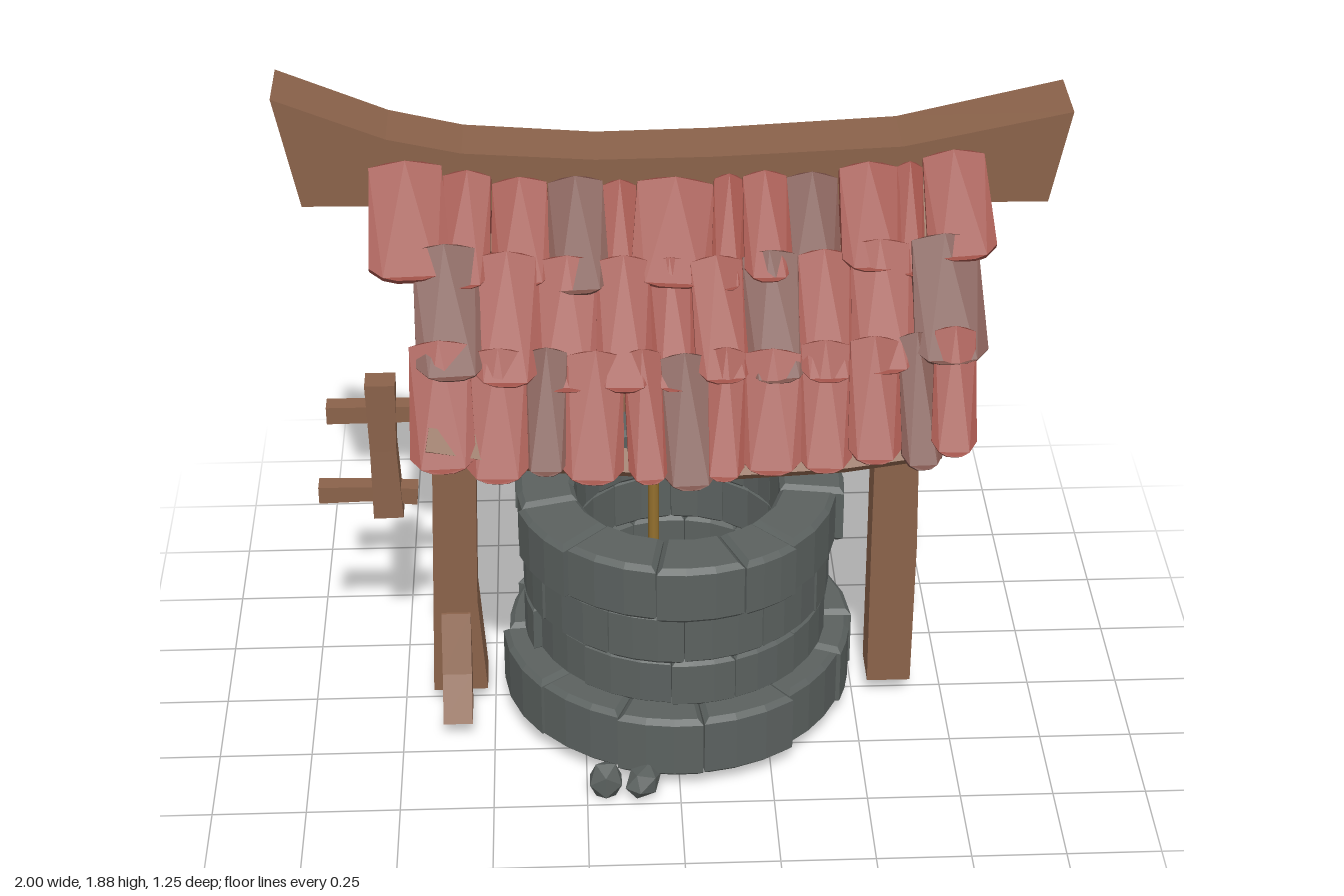
import * as THREE from 'three';

const mat = (name, color) => Object.assign(new THREE.MeshStandardMaterial({ color }), { name });
const V = (x, y, z) => new THREE.Vector3(x, y, z);

export function createModel() {
  const wood = mat('wood', 0x8a624a);
  const stone = mat('stone', 0x5b615f);
  const redTile = mat('red tile', 0x9e5047);
  const brownTile = mat('brown tile', 0x7a5048);
  const rope = mat('rope', 0x94702e);

  const root = new THREE.Group();
  root.name = 'well';
  let seed = 7;
  const rnd = (a) => { // seeded, -a..a
    seed = (seed * 16807) % 2147483647;
    return (seed / 2147483647 * 2 - 1) * a;
  };
  const add = (name, geo, material, parent = root) => {
    const m = new THREE.Mesh(geo, material);
    m.name = name;
    parent.add(m);
    return m;
  };
  const group = (name) => {
    const g = new THREE.Group();
    g.name = name;
    root.add(g);
    return g;
  };

  // Timber with a rectangular section; each point is [x, y, z, width along side, depth, section normal (optional)].
  const timber = (name, pts, side, parent = root) => {
    const P = pts.map((p) => V(p[0], p[1], p[2]));
    const rings = P.map((p, i) => {
      const t = pts[i][5] ? pts[i][5].clone() : P[Math.min(i + 1, P.length - 1)].clone().sub(P[Math.max(i - 1, 0)]);
      t.normalize();
      const s = side.clone().addScaledVector(t, -side.dot(t)).normalize();
      const u = t.clone().cross(s);
      return [[1, 1], [-1, 1], [-1, -1], [1, -1]].map(([a, b]) =>
        p.clone().addScaledVector(s, a * pts[i][3] / 2).addScaledVector(u, b * pts[i][4] / 2));
    });
    const out = [];
    const quad = (a, b, c, d) => out.push(a, b, c, a, c, d);
    for (let k = 0; k < rings.length - 1; k++) {
      for (let i = 0; i < 4; i++) {
        const j = (i + 1) % 4;
        quad(rings[k][i], rings[k][j], rings[k + 1][j], rings[k + 1][i]);
      }
    }
    const e = rings[rings.length - 1], f = rings[0];
    quad(e[0], e[1], e[2], e[3]);
    quad(f[3], f[2], f[1], f[0]);
    const geo = new THREE.BufferGeometry().setFromPoints(out);
    geo.computeVertexNormals();
    return add(name, geo, wood, parent);
  };
  const X = V(1, 0, 0), Y = V(0, 1, 0), Z = V(0, 0, 1);

  // Stone courses: [bottom, top, inner radius, outer radius, stones, turn]
  const wall = group('stoneWall');
  wall.position.set(0.01, 0, -0.03);
  [[0.06, 0.245, 0.31, 0.478, 12, 0.1], [0.235, 0.385, 0.29, 0.412, 12, 0.38],
    [0.375, 0.535, 0.29, 0.412, 12, 0.05], [0.525, 0.695, 0.28, 0.442, 12, 0.3]].forEach(([y0, y1, r0, r1, n, turn]) => {
    const step = Math.PI * 2 / n;
    const cuts = Array.from({ length: n }, (_, i) => turn + i * step + rnd(0.1));
    cuts.push(cuts[0] + Math.PI * 2);
    for (let i = 0; i < n; i++) {
      const a = cuts[i] + 0.004, b = cuts[i + 1] - 0.004, R = r1 + rnd(0.014);
      const pts = [];
      for (let k = 0; k <= 3; k++) {
        const t = a + (b - a) * k / 3;
        pts.push(new THREE.Vector2(Math.cos(t) * R, Math.sin(t) * R));
      }
      for (let k = 2; k >= 0; k--) {
        const t = a + (b - a) * k / 2;
        pts.push(new THREE.Vector2(Math.cos(t) * r0, Math.sin(t) * r0));
      }
      const bevel = 0.014;
      const geo = new THREE.ExtrudeGeometry(new THREE.Shape(pts), {
        depth: y1 - y0 - 2 * bevel, bevelThickness: bevel, bevelSize: bevel,
        bevelOffset: -bevel, bevelSegments: 1,
      });
      geo.rotateX(-Math.PI / 2).translate(0, y0 + bevel, 0);
      add('wallStone', geo, stone, wall);
    }
  });

  // Loose pebbles
  [[-0.2, 0.06, 0.46, 0.05, 0.062], [-0.1, 0.062, 0.47, 0.062, 0.045], [-0.08, 0.06, -0.54, 0.045, 0.035]]
    .forEach(([x, y, z, r, h], i) => {
      const m = add('pebble', new THREE.IcosahedronGeometry(1, 0), stone);
      m.position.set(x, y, z);
      m.scale.set(r, h, 0.045);
      m.rotation.y = i;
    });

  // Posts and their feet
  timber('rightPost', [[-0.595, 0.06, -0.02, 0.15, 0.12], [-0.6, 0.36, -0.02, 0.12, 0.115],
    [-0.585, 0.9, -0.02, 0.115, 0.105], [-0.58, 1.2, -0.02, 0.12, 0.11], [-0.585, 1.66, -0.02, 0.11, 0.1]], X);
  timber('leftPost', [[0.6, 0.06, -0.02, 0.12, 0.125], [0.6, 0.5, -0.015, 0.125, 0.105],
    [0.595, 0.95, -0.025, 0.115, 0.12], [0.595, 1.7, -0.02, 0.11, 0.1]], X);
  [[-0.6, 1, 0.08], [0.61, -1, 0.06]].forEach(([x, s, w]) =>
    timber('postFoot', [[x, 0.06, -0.02 + s * 0.17, w, 0.1, Y], [x, 0.17, -0.02 + s * 0.1, w, 0.08, Y],
      [x, 0.32, -0.02 + s * 0.035, w, 0.06, Y]], X));

  // Sagging ridge beam, its ends leaning outwards
  timber('ridgeBeam', [[-0.97, 1.74, -0.033, 0.175, 0.305, V(1, 0.2, 0)], [-0.74, 1.68, -0.033, 0.17, 0.19],
    [-0.54, 1.65, -0.032, 0.165, 0.16], [-0.2, 1.633, -0.03, 0.16, 0.145], [0.1, 1.637, -0.03, 0.165, 0.145],
    [0.58, 1.65, -0.032, 0.175, 0.16], [0.975, 1.695, -0.035, 0.19, 0.255, V(1, -0.2, 0)]], Z);

  // Roof frame: rafters, braces and sagging eave purlins laid along the slope
  const frame = group('roofFrame');
  for (const s of [1, -1]) {
    for (const x of [-0.585, 0.595]) {
      timber('rafter', [[x, 1.63, s * 0.05, 0.07, 0.055], [x, 1.41, s * 0.29, 0.07, 0.055],
        [x, 1.13, s * 0.54, 0.07, 0.055]], X, frame);
      timber('brace', [[x, 1.31, -0.02 + s * 0.03, 0.05, 0.045], [x, 1.45, s * 0.28, 0.05, 0.04]], X, frame);
    }
    timber('eavePurlin', [-0.63, -0.35, 0.1, 0.4, 0.64].map((x) =>
      [x, 1.095 + 0.17 * (x - 0.1) ** 2, s * 0.535, 0.06, 0.065]), V(0, -0.75, s * 0.65), frame);
  }

  // Roof tiles: edges along x, brown tile indices, and the slope from top to bottom
  const rows = [
    { edges: [-0.77, -0.58, -0.46, -0.32, -0.18, -0.1, 0.1, 0.17, 0.28, 0.41, 0.56, 0.62, 0.78],
      brown: [3, 8], top: [0.07, 1.64], low: [0.278, 1.435] },
    { edges: [-0.66, -0.5, -0.35, -0.2, -0.07, 0.03, 0.16, 0.3, 0.43, 0.58, 0.75],
      brown: [0, 6, 9], top: [0.23, 1.505], low: [0.445, 1.262] },
    { edges: [-0.67, -0.52, -0.38, -0.28, -0.14, -0.05, 0.07, 0.16, 0.3, 0.42, 0.54, 0.63, 0.73],
      brown: [2, 5, 10], top: [0.4, 1.335], low: [0.578, 1.075] },
  ];
  const tileGeometry = (w, len) => {
    const h = w / 2, pts = [];
    for (let k = 0; k <= 4; k++) pts.push(new THREE.Vector2(h * (0.9 - 0.45 * k), 0.012 * Math.sin(k / 4 * Math.PI)));
    for (let k = 0; k <= 6; k++) {
      const t = -1 + k / 3;
      pts.push(new THREE.Vector2(h * t, -len + 0.04 * Math.abs(t) ** 3));
    }
    const geo = new THREE.ExtrudeGeometry(new THREE.Shape(pts), { depth: 0.026, bevelEnabled: false });
    const p = geo.attributes.position;
    // Arch across the width, with a lifted lower lip
    for (let i = 0; i < p.count; i++) {
      const x = p.getX(i) / h;
      p.setZ(i, p.getZ(i) - 0.016 * x * x - 0.012 * p.getY(i) / len);
    }
    geo.computeVertexNormals();
    return geo;
  };
  for (const s of [1, -1]) {
    const slope = group(s > 0 ? 'frontTiles' : 'backTiles');
    for (const { edges, brown, top, low } of rows) {
      const up = V(0, top[1] - low[1], s * (top[0] - low[0]));
      const len = up.length();
      const ax = V(s, 0, 0), ay = up.normalize(), az = ax.clone().cross(ay);
      for (let i = 0; i < edges.length - 1; i++) {
        const x = (edges[i] + edges[i + 1]) / 2, w = edges[i + 1] - edges[i] + 0.012;
        const m = add('roofTile', tileGeometry(w, len + rnd(0.015)), brown.includes(i) ? brownTile : redTile, slope);
        m.quaternion.setFromRotationMatrix(new THREE.Matrix4().makeBasis(ax, ay, az));
        m.position.set(x, top[1] + 0.12 * x * x + rnd(0.008), s * top[0]).addScaledVector(az, (i % 2) * 0.008);
        m.rotateZ(rnd(0.05));
        m.rotateY(rnd(0.06));
      }
    }
  }

  // Winding axle and crank
  timber('axle', [[-0.92, 0.94, -0.02, 0.05, 0.05], [-0.5, 0.94, -0.02, 0.045, 0.045], [-0.12, 0.955, -0.02, 0.04, 0.045],
    [0.1, 0.945, -0.02, 0.045, 0.045], [0.3, 0.93, -0.02, 0.045, 0.045], [0.765, 0.94, -0.02, 0.05, 0.055]], Z);
  timber('crankArm', [[-0.77, 0.62, -0.02, 0.08, 0.07], [-0.775, 0.83, -0.02, 0.07, 0.065],
    [-0.775, 1.035, -0.02, 0.08, 0.07]], X);
  timber('crankHandle', [[-0.955, 0.69, -0.02, 0.05, 0.05], [-0.82, 0.69, -0.02, 0.045, 0.045],
    [-0.69, 0.68, -0.02, 0.05, 0.05]], Z);

  // Rope wound on the axle and hanging into the well
  const coil = [];
  for (let i = 0; i <= 84; i++) {
    const a = i / 12 * Math.PI * 2;
    coil.push(V(-0.085 + 0.17 * i / 84, 0.952 - 0.01 * i / 84 + 0.034 * Math.cos(a), -0.02 + 0.034 * Math.sin(a)));
  }
  add('ropeCoil', new THREE.TubeGeometry(new THREE.CatmullRomCurve3(coil), 130, 0.012, 6), rope);
  const hanging = add('hangingRope', new THREE.CylinderGeometry(0.015, 0.015, 0.87, 8), rope);
  hanging.position.set(-0.055, 0.505, 0.012);

  return root;
}
